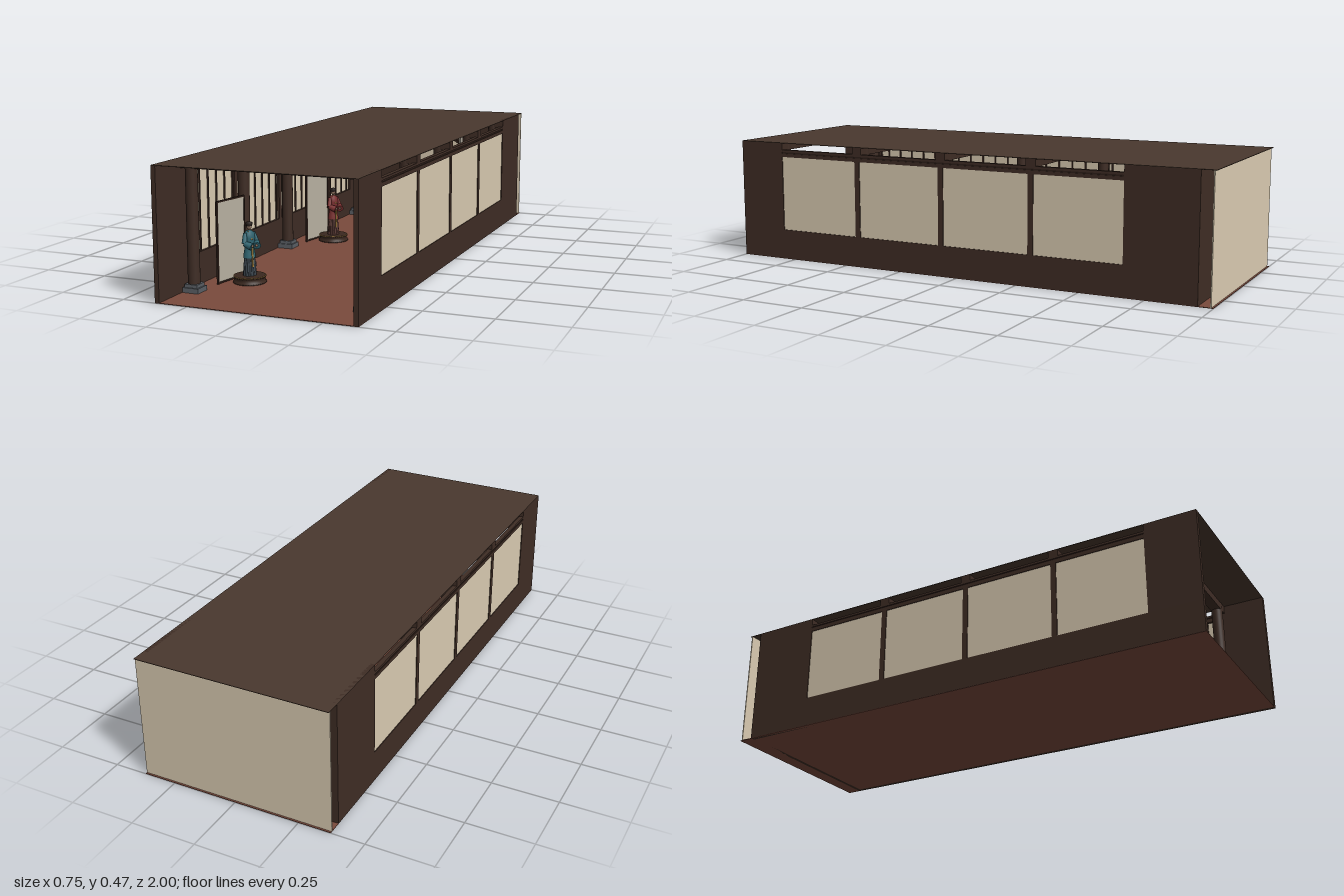
import * as THREE from 'three';

const W = 0.374, H = 0.475;
const mats = {};
const mat = (color) => (mats[color] ??= new THREE.MeshStandardMaterial({ color, side: THREE.DoubleSide }));
const WOOD = 0x3f2d25, DARK = 0x2e1f19, CREAM = 0xdccdb3, STONE = 0x5b6066, GOLD = 0xa8853f, SKIN = 0x8a6f5c;

function add(parent, name, geo, color, x = 0, y = 0, z = 0) {
  const m = new THREE.Mesh(geo, mat(color));
  m.name = name;
  m.position.set(x, y, z);
  parent.add(m);
  return m;
}

// Box given by its lower and upper corners
function block(parent, name, color, x0, x1, y0, y1, z0, z1) {
  return add(parent, name, new THREE.BoxGeometry(x1 - x0, y1 - y0, z1 - z0), color,
    (x0 + x1) / 2, (y0 + y1) / 2, (z0 + z1) / 2);
}

function lathe(parent, name, color, pts, seg = 28) {
  return add(parent, name, new THREE.LatheGeometry(pts.map(p => new THREE.Vector2(...p)), seg), color);
}

// Tapered tube between two points
function limb(parent, name, color, a, b, r0, r1) {
  const A = new THREE.Vector3(...a), B = new THREE.Vector3(...b), d = B.clone().sub(A);
  const m = add(parent, name, new THREE.CylinderGeometry(r1, r0, d.length(), 14), color);
  m.position.copy(A).add(B).multiplyScalar(0.5);
  m.quaternion.setFromUnitVectors(new THREE.Vector3(0, 1, 0), d.normalize());
  return m;
}

// Pleated cloth: lathe whose radius ripples around the axis
function pleated(parent, name, color, pts, amount) {
  const m = lathe(parent, name, color, pts, 96);
  const p = m.geometry.attributes.position;
  for (let i = 0; i < p.count; i++) {
    const k = 1 + amount * Math.cos(24 * Math.atan2(p.getZ(i), p.getX(i)));
    p.setXYZ(i, p.getX(i) * k, p.getY(i), p.getZ(i) * k);
  }
  m.geometry.computeVertexNormals();
  return m;
}

function pedestal(parent, r) {
  lathe(parent, 'pedestal', 0x3a281f, [[0, 0], [r, 0], [r, 0.006], [r * 0.93, 0.009], [r * 0.9, 0.018],
    [r * 0.97, 0.021], [r * 0.97, 0.027], [0, 0.027]], 40);
  const rim = add(parent, 'pedestalRim', new THREE.TorusGeometry(r * 0.96, 0.0012, 6, 40), GOLD, 0, 0.026, 0);
  rim.rotation.x = Math.PI / 2;
}

function head(parent, y) {
  lathe(parent, 'neck', SKIN, [[0.006, y - 0.016], [0.0045, y - 0.008], [0.0045, y]], 14);
  add(parent, 'head', new THREE.SphereGeometry(0.0095, 18, 14), SKIN, 0, y + 0.004, 0).scale.y = 1.25;
}

// Central ceremonial robe with spread striped sleeves
function ceremonialFigure() {
  const g = new THREE.Group();
  g.name = 'ceremonialFigure';
  pedestal(g, 0.065);
  const body = new THREE.Group();
  body.name = 'robe';
  g.add(body);
  pleated(body, 'skirt', 0xb8702c, [[0.031, 0.034], [0.029, 0.07], [0.025, 0.11], [0.021, 0.15]], 0.025).scale.z = 0.7;
  lathe(body, 'bodice', 0xb8702c, [[0.021, 0.148], [0.021, 0.17], [0.018, 0.178], [0.006, 0.183]]).scale.z = 0.65;
  block(body, 'chestPanel', 0x9c2430, -0.015, 0.015, 0.148, 0.175, 0.011, 0.0155);
  block(body, 'frontSash', 0xd5d0c2, -0.005, 0.005, 0.034, 0.11, 0.016, 0.023);
  const bands = [0x9c2430, 0xd9a63c, 0x3b6b58, 0xe0d9c8, 0x4b4a86, 0xc2612e, 0x9c2430, 0xe0d9c8, 0x3b6b58];
  const at = (t, low) => [0.018 + 0.037 * t, low ? 0.148 - 0.024 * t : 0.178 - 0.004 * t];
  for (const s of [-1, 1]) bands.forEach((c, i) => {
    const a = i / bands.length, b = (i + 1) / bands.length;
    const corners = [at(a, 0), at(b, 0), at(b, 1), at(a, 1)].map(([x, y]) => new THREE.Vector2(x * s, y));
    add(body, 'sleeveBand', new THREE.ExtrudeGeometry(new THREE.Shape(corners), { depth: 0.016, bevelEnabled: false }), c, 0, 0, -0.008);
  });
  head(g, 0.194);
  lathe(g, 'crown', 0x4a3524, [[0.009, 0.205], [0.010, 0.213], [0.016, 0.217], [0.016, 0.223], [0, 0.224]], 24);
  lathe(g, 'crownBand', GOLD, [[0.0105, 0.205], [0.0105, 0.209]], 24);
  return g;
}

// Standing robed figure: short jacket over a pleated skirt, or a long cloak with a wide hat
function robedFigure({ skirt, coat, trim, long }) {
  const g = new THREE.Group();
  g.name = 'robedFigure';
  pedestal(g, 0.061);
  const hem = long ? 0.04 : 0.092;
  pleated(g, 'skirt', skirt, [[0.025, 0.027], [0.023, 0.06], [0.019, 0.1], [0.016, 0.13]], 0.04).scale.z = 0.85;
  lathe(g, 'coat', coat, [[long ? 0.027 : 0.024, hem], [0.022, 0.11], [0.017, 0.137], [0.022, 0.165], [0.02, 0.182],
    [0.012, 0.191], [0.005, 0.194]]).scale.z = 0.8;
  const belt = add(g, 'belt', new THREE.TorusGeometry(0.018, 0.0018, 8, 28), trim, 0, 0.137, 0);
  belt.rotation.x = Math.PI / 2;
  belt.scale.y = 0.85;
  block(g, 'sash', trim, -0.003, 0.003, 0.06, 0.137, 0.016, 0.021);
  for (const s of [-1, 1]) {
    limb(g, 'upperSleeve', coat, [0.018 * s, 0.184, 0], [0.027 * s, 0.148, 0.008], 0.007, 0.010);
    limb(g, 'lowerSleeve', coat, [0.027 * s, 0.148, 0.008], [0.012 * s, 0.138, 0.031], 0.010, 0.014);
    limb(g, 'collar', trim, [0.009 * s, 0.192, 0.006], [-0.003 * s, 0.16, 0.018], 0.0018, 0.0018);
    add(g, 'hand', new THREE.SphereGeometry(0.005, 10, 8), SKIN, 0.009 * s, 0.14, 0.032);
  }
  head(g, 0.203);
  if (long) lathe(g, 'wideHat', 0x2e2622, [[0.045, 0.222], [0.045, 0.224], [0.012, 0.226], [0.009, 0.23], [0, 0.231]], 32);
  else {
    lathe(g, 'cap', 0x261e1b, [[0.0105, 0.209], [0.012, 0.215], [0.012, 0.222], [0, 0.225]], 20);
    add(g, 'hairBun', new THREE.SphereGeometry(0.006, 10, 8), 0x261e1b, 0, 0.209, -0.011);
  }
  return g;
}

// Framed standing screen
function standingScreen() {
  const g = new THREE.Group();
  g.name = 'standingScreen';
  block(g, 'screenPanel', 0xb9b2a2, -0.075, 0.075, 0.008, 0.3, -0.002, 0.002);
  for (const s of [-1, 1]) block(g, 'screenPost', DARK, s * 0.077 - 0.003, s * 0.077 + 0.003, 0, 0.305, -0.004, 0.004);
  for (const y of [0.003, 0.299]) block(g, 'screenRail', DARK, -0.08, 0.08, y, y + 0.006, -0.004, 0.004);
  return g;
}

export function createModel() {
  const hall = new THREE.Group();
  hall.name = 'exhibitionHall';
  const bays = [0.82, 0.44, 0.065, -0.31, -0.69];

  // Shell
  block(hall, 'floor', 0x7a4a3c, -W, W, 0, 0.002, -1, 1);
  block(hall, 'roof', 0x49382e, -W, W, H - 0.002, H, -1, 1);
  block(hall, 'backPanel', CREAM, -W, W, 0.002, H - 0.002, -0.993, -0.989);

  // Inner back wall with the round opening
  const wall = new THREE.Shape([[-W, 0], [W, 0], [W, H - 0.002], [-W, H - 0.002]].map(p => new THREE.Vector2(...p)));
  wall.holes.push(new THREE.Path().absarc(0, 0.205, 0.15, 0, Math.PI * 2, true));
  add(hall, 'moonGateWall', new THREE.ExtrudeGeometry(wall, { depth: 0.015, bevelEnabled: false, curveSegments: 32 }), WOOD, 0, 0, -0.945);
  const ring = new THREE.Shape().absarc(0, 0, 0.16, 0, Math.PI * 2);
  ring.holes.push(new THREE.Path().absarc(0, 0, 0.15, 0, Math.PI * 2, true));
  add(hall, 'moonGateFrame', new THREE.ExtrudeGeometry(ring, { depth: 0.024, bevelEnabled: false, curveSegments: 32 }), DARK, 0, 0.205, -0.948);

  for (const s of [-1, 1]) {
    // Side wall built on +x and turned half round for the other side, with z flipped to match
    const part = (name, color, x0, x1, y0, y1, z0, z1) =>
      block(hall, name, color, Math.min(s * x0, s * x1), Math.max(s * x0, s * x1), y0, y1, z0, z1);
    part('wallBase', WOOD, 0.357, W, 0, 0.12, -0.943, 1);
    part('frontPier', WOOD, 0.357, W, 0.12, H, 0.8, 1);
    part('backPier', WOOD, 0.357, W, 0.12, H, -0.943, -0.67);
    part('lintel', WOOD, 0.357, W, 0.418, 0.432, -0.67, 0.8);
    part('lintelCore', DARK, 0.36, 0.371, 0.43, 0.44, -0.67, 0.8);
    part('lintelCap', WOOD, 0.357, W, 0.438, 0.447, -0.67, 0.8);
    part('windowPane', CREAM, 0.367, 0.371, 0.12, 0.418, -0.67, 0.8);
    for (const z of bays.slice(1, 4)) part('windowPost', WOOD, 0.357, W, 0.12, 0.42, z - 0.011, z + 0.011);
    // Inner lattice
    for (let i = 0; i < 24; i++) {
      const z = -0.64 + i * 0.061;
      part('latticeBar', WOOD, 0.361, 0.366, 0.12, 0.418, z - 0.003, z + 0.003);
    }

    // Columns on stepped stone bases
    for (const z of bays) {
      add(hall, 'column', new THREE.CylinderGeometry(0.022, 0.022, H - 0.004, 24), WOOD, s * 0.325, H / 2, z);
      part('columnBase', STONE, 0.293, 0.355, 0.001, 0.02, z - 0.031, z + 0.031);
      part('columnBaseStep', STONE, 0.299, 0.35, 0.02, 0.032, z - 0.026, z + 0.026);
    }

    // Hanging cloth beside the round opening
    const cloth = new THREE.PlaneGeometry(0.066, 0.332, 40, 1);
    const p = cloth.attributes.position;
    for (let i = 0; i < p.count; i++) p.setZ(i, 0.003 * Math.sin(p.getX(i) * 480));
    cloth.computeVertexNormals();
    add(hall, 'hangingCloth', cloth, 0xd8d0c0, s * 0.131, 0.226, -0.912);
    part('clothRail', DARK, 0.097, 0.166, 0.391, 0.398, -0.918, -0.906);
  }

  // Cross beams
  for (const z of bays) block(hall, 'crossBeam', WOOD, -W, W, 0.443, H - 0.001, z - 0.02, z + 0.02);

  // Stone dais with the ceremonial figure
  block(hall, 'daisStep', STONE, -0.11, 0.11, 0.001, 0.01, -0.895, -0.675);
  block(hall, 'daisTop', STONE, -0.085, 0.085, 0.01, 0.019, -0.87, -0.7);
  const centre = ceremonialFigure();
  centre.position.set(0, 0.019, -0.785);
  hall.add(centre);

  // Side figures, each with a screen behind
  const sides = [
    [-1, 0.63, { skirt: 0x3d474f, coat: 0x2f6470, trim: GOLD, long: false }],
    [1, 0.24, { skirt: 0x39434a, coat: 0x6e4638, trim: 0x8e2532, long: true }],
    [-1, -0.126, { skirt: 0x5a3a34, coat: 0x7a3030, trim: GOLD, long: false }],
    [1, -0.51, { skirt: 0x39434a, coat: 0x35506a, trim: 0xc9bda2, long: false }],
  ];
  for (const [s, z, look] of sides) {
    const figure = robedFigure(look);
    figure.position.set(s * 0.205, 0.001, z);
    figure.rotation.y = -s * 1.1;
    const screen = standingScreen();
    screen.position.set(s * 0.28, 0.001, z);
    screen.rotation.y = -s * 1.39;
    hall.add(figure, screen);
  }
  return hall;
}
